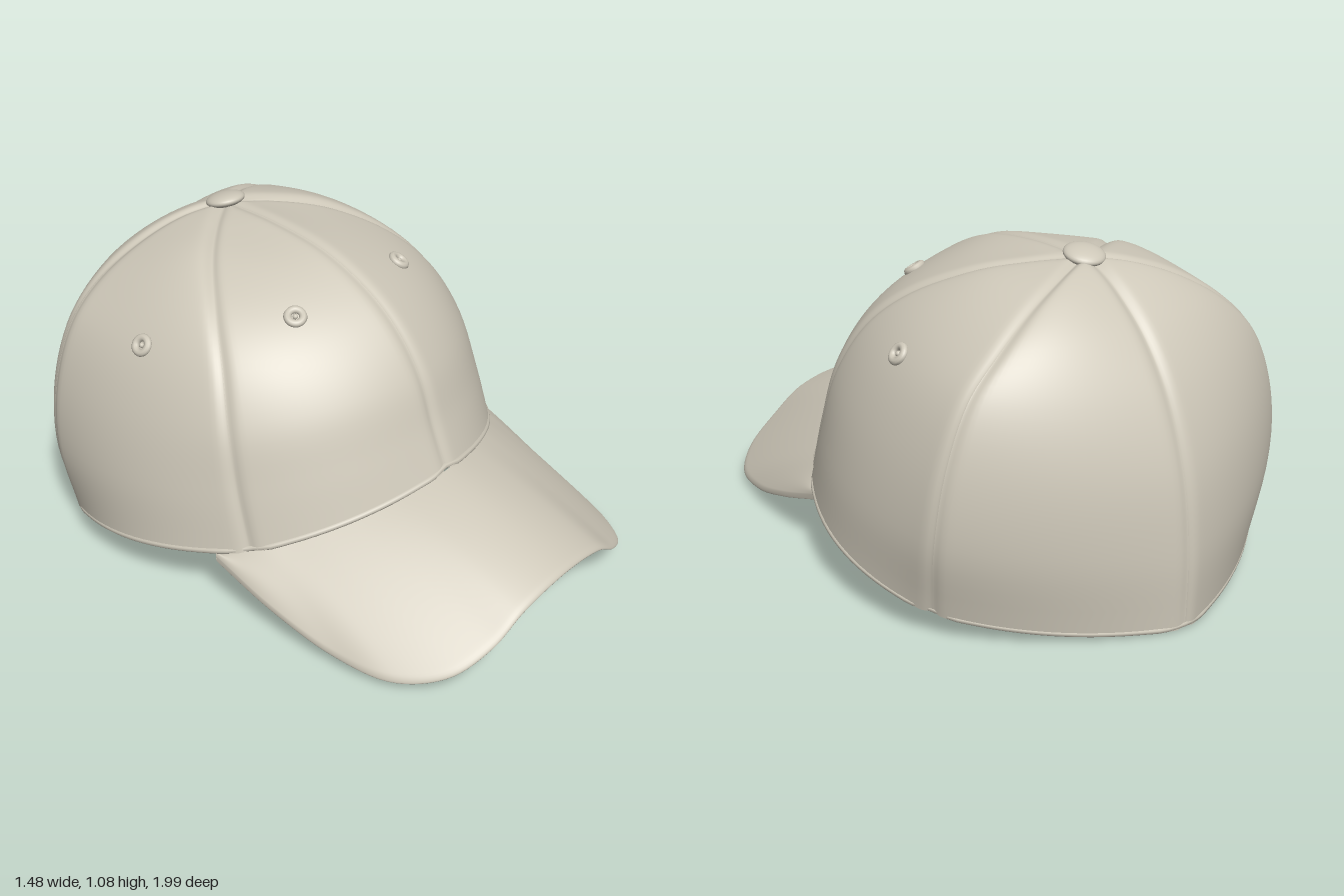
import * as THREE from 'three';

const V = (p) => new THREE.Vector3(...p);
const curve = (pts) => new THREE.CatmullRomCurve3(pts.map(V), false, 'centripetal');
const APEX = [0, 1.06, -0.48];

// Half of the crown as meridians from hem to apex: seam, panel middle, seam, ...
const MERIDIANS = [
  [[0, .41, .52], [0, .55, .46], [0, .71, .40], [0, .84, .31], [0, .94, .19], [0, 1.025, 0], [0, 1.06, -.24], APEX],
  [[.34, .345, .42], [.33, .51, .365], [.315, .68, .3], [.29, .82, .2], [.25, .92, .08], [.18, 1.005, -.1], [.09, 1.045, -.3], APEX],
  [[.6, .25, .2], [.59, .45, .14], [.565, .64, .085], [.5, .81, 0], [.41, .925, -.115], [.27, 1.01, -.27], [.13, 1.045, -.39], APEX],
  [[.735, .17, -.2], [.715, .38, -.22], [.66, .6, -.25], [.575, .78, -.29], [.46, .91, -.33], [.31, 1.005, -.38], [.15, 1.045, -.43], APEX],
  [[.66, .09, -.595], [.685, .33, -.645], [.65, .57, -.66], [.565, .765, -.655], [.445, .88, -.64], [.3, .97, -.6], [.15, 1.03, -.55], APEX],
  [[.37, .03, -.83], [.385, .28, -.86], [.37, .53, -.85], [.33, .74, -.8], [.265, .885, -.73], [.18, .98, -.645], [.09, 1.035, -.56], APEX],
  [[0, .005, -1], [0, .25, -1], [0, .5, -.965], [0, .72, -.88], [0, .87, -.775], [0, .965, -.67], [0, 1.03, -.57], APEX],
].map(curve);

// Smooth surface from a function of (u, v); side -1 mirrors it across x
function grid(f, nu, nv, side = 1) {
  const pos = [], idx = [];
  for (let i = 0; i <= nu; i++) {
    for (let j = 0; j <= nv; j++) {
      const p = f(i / nu, j / nv);
      pos.push(p.x * side, p.y, p.z);
      if (i < nu && j < nv) {
        const a = i * (nv + 1) + j, b = a + 1, c = a + nv + 1, d = c + 1;
        if (side > 0) idx.push(a, b, c, b, d, c);
        else idx.push(a, c, b, b, c, d);
      }
    }
  }
  const g = new THREE.BufferGeometry();
  g.setAttribute('position', new THREE.Float32BufferAttribute(pos, 3));
  g.setIndex(idx);
  g.computeVertexNormals();
  return g;
}

// Point on a panel: quadratic across seam, middle, seam, with a groove at both seams
const CORE = new THREE.Vector3(0, 0.45, -0.25);
function panelPoint(panel, u, v) {
  const [a, m, b] = [0, 1, 2].map((k) => MERIDIANS[panel * 2 + k].getPoint(u));
  const p = new THREE.Vector3()
    .addScaledVector(a, (1 - v) * (1 - 2 * v))
    .addScaledVector(m, 4 * v * (1 - v))
    .addScaledVector(b, v * (2 * v - 1));
  const d = Math.min(p.distanceTo(a), p.distanceTo(b));
  const inward = CORE.clone().sub(p).normalize();
  return p.addScaledVector(inward, 0.012 * Math.exp(-((d / 0.022) ** 2)));
}

// Brim: loft from the crown edge to the curved outer edge
const bothSides = (pts) => curve([...pts.slice(1).reverse().map(([x, y, z]) => [-x, y, z]), ...pts]);
const brimInner = bothSides([[0, .405, .51], [.17, .385, .475], [.32, .345, .415], [.42, .312, .35],
  [.5, .283, .28], [.56, .262, .22], [.605, .24, .16], [.645, .216, .09]]);
const brimOuter = bothSides([[0, .255, .995], [.2, .218, .985], [.33, .14, .965], [.46, .075, .905],
  [.565, .045, .77], [.615, .065, .57], [.645, .135, .33], [.652, .215, .1]]);
const THICK = 0.02;
function brimPoint(u, v) {
  // v runs over the top, round the rim and back underneath
  const w = Math.abs(1 - 2 * v), s = 1 - w ** 2;
  const p = brimInner.getPoint(u).lerp(brimOuter.getPoint(u), s);
  p.y += 0.05 * s * (1 - s);
  const round = Math.min(1, Math.max(0, (s - 0.96) / 0.04));
  const half = (THICK / 2) * Math.sqrt(1 - round * round);
  p.y += -THICK / 2 + (v < 0.5 ? half : -half);
  return p;
}

export function createModel() {
  const cap = new THREE.Group();
  cap.name = 'cap';
  const cloth = new THREE.MeshStandardMaterial({ color: 0xcdc7b8, side: THREE.DoubleSide });
  cloth.name = 'beige cloth';
  const add = (name, geometry, parent = cap) => {
    const m = new THREE.Mesh(geometry, cloth);
    m.name = name;
    parent.add(m);
    return m;
  };

  // Six crown panels
  const ease = (t) => 0.5 - 0.5 * Math.cos(Math.PI * t);
  ['front', 'side', 'back'].forEach((name, k) => {
    for (const side of [1, -1]) {
      add(`${name}Panel${side > 0 ? 'Left' : 'Right'}`,
        grid((u, v) => panelPoint(k, u, ease(v)), 40, 32, side));
    }
  });

  // Rolled hem around the opening
  const half = [];
  for (let k = 0; k < 3; k++) for (let j = 0; j < 12; j++) half.push(panelPoint(k, 0, j / 12));
  half.push(panelPoint(2, 0, 1));
  const rest = half.slice(1, -1).reverse().map((p) => new THREE.Vector3(-p.x, p.y, p.z));
  const hem = [...half, ...rest].map((p) => new THREE.Vector3(p.x * 0.99, p.y + 0.006, (p.z + 0.25) * 0.99 - 0.25));
  add('hem', new THREE.TubeGeometry(new THREE.CatmullRomCurve3(hem, true), 160, 0.011, 8, true));

  add('brim', grid(brimPoint, 96, 48));

  // Button on top, tilted backwards
  const button = add('topButton', new THREE.SphereGeometry(0.067, 32, 16));
  button.scale.y = 0.36;
  button.position.set(0, 1.058, -0.475);
  button.rotation.x = -0.25;

  // Stitched eyelets on the front and side panels
  for (const [panel, u, v] of [[0, 0.57, 0.5], [1, 0.45, 0.5]]) {
    const e = 0.02, p = panelPoint(panel, u, v);
    const du = panelPoint(panel, u + e, v).sub(p), dv = panelPoint(panel, u, v + e).sub(p);
    const n = dv.cross(du).normalize();
    for (const side of [1, -1]) {
      const normal = new THREE.Vector3(n.x * side, n.y, n.z);
      const eyelet = new THREE.Group();
      eyelet.name = `${panel ? 'side' : 'front'}Eyelet${side > 0 ? 'Left' : 'Right'}`;
      eyelet.position.set(p.x * side, p.y, p.z).addScaledVector(normal, 0.003);
      eyelet.quaternion.setFromUnitVectors(new THREE.Vector3(0, 0, 1), normal);
      add('eyeletRing', new THREE.TorusGeometry(0.025, 0.013, 10, 28), eyelet);
      add('eyeletCentre', new THREE.SphereGeometry(0.009, 12, 8), eyelet);
      cap.add(eyelet);
    }
  }
  return cap;
}
